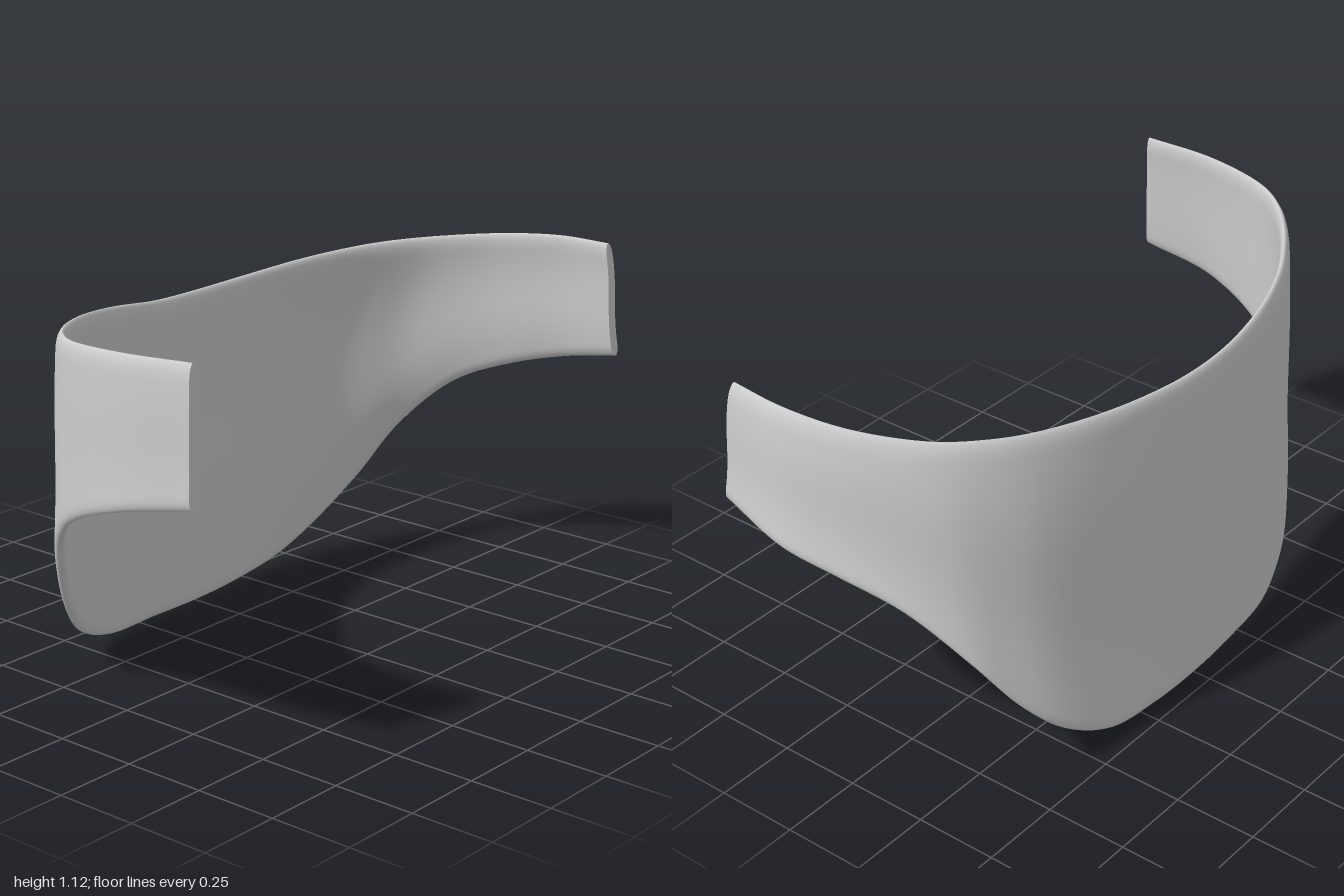
import * as THREE from 'three';

// Upper and lower rims, from the right tip round the back to the left tip
const RIMS = [
  // top x, y, z,        bottom x, y, z
  [-0.96, 1.12, 0.45, -0.98, 0.74, 0.46],
  [-0.978, 1.11, 0.22, -1.0, 0.69, 0.22],
  [-0.94, 1.095, 0.0, -0.955, 0.605, 0.0],
  [-0.87, 1.085, -0.11, -0.88, 0.5, -0.13],
  [-0.79, 1.075, -0.185, -0.8, 0.355, -0.215],
  [-0.69, 1.062, -0.255, -0.7, 0.2, -0.29],
  [-0.58, 1.048, -0.315, -0.59, 0.095, -0.355],
  [-0.4, 1.025, -0.375, -0.41, 0.02, -0.415],
  [-0.2, 1.0, -0.403, -0.2, 0.006, -0.442],
  [0, 0.997, -0.41, 0, 0.0, -0.453],
  [0.2, 1.007, -0.395, 0.2, 0.01, -0.458],
  [0.4, 1.023, -0.36, 0.41, 0.045, -0.457],
  [0.57, 1.037, -0.305, 0.59, 0.14, -0.425],
  [0.68, 1.047, -0.245, 0.7, 0.25, -0.37],
  [0.78, 1.056, -0.16, 0.805, 0.41, -0.285],
  [0.86, 1.068, -0.045, 0.9, 0.57, -0.125],
  [0.915, 1.08, 0.08, 0.965, 0.645, 0.05],
  [0.945, 1.092, 0.25, 1.0, 0.69, 0.22],
  [0.935, 1.095, 0.43, 0.97, 0.74, 0.45],
];
const THICK = 0.03, NU = 120, NV = 32;

// Closed, tapered shell swept between the two rims
function bandGeometry() {
  const curve = (k) => new THREE.CatmullRomCurve3(
    RIMS.map((r) => new THREE.Vector3(r[k], r[k + 1], r[k + 2])));
  const top = curve(0), bottom = curve(3);

  // Middle surface: gently S-shaped in height
  const surface = (u, v) => {
    const a = top.getPoint(u), b = bottom.getPoint(u);
    const g = v + 0.1 * Math.sin(2 * Math.PI * v);
    return new THREE.Vector3(
      THREE.MathUtils.lerp(a.x, b.x, g),
      THREE.MathUtils.lerp(a.y, b.y, v),
      THREE.MathUtils.lerp(a.z, b.z, g));
  };
  // Inward normal, horizontal so that the rims keep their heights
  const inward = (u, v) => {
    const t = surface(Math.min(u + 0.004, 1), v).sub(surface(Math.max(u - 0.004, 0), v));
    return new THREE.Vector3(-t.z, 0, t.x).normalize();
  };
  // Rounded edge: thickness falls to nothing at both rims
  const round = (d) => Math.sqrt(1 - (1 - Math.min(d, 1)) ** 2);

  const pos = [], index = [], ring = 2 * NV;
  for (let i = 0; i <= NU; i++) {
    const u = i / NU;
    const height = top.getPoint(u).y - bottom.getPoint(u).y;
    for (let j = 0; j < ring; j++) {
      // Down the outside, then up the inside; rows crowd towards the rims
      const k = j <= NV ? j : ring - j;
      const v = (1 - Math.cos(Math.PI * k / NV)) / 2;
      const w = Math.min(round(v * height / 0.05), round((1 - v) * height / 0.035));
      const off = (1 + (j <= NV ? -w : w)) * THICK / 2;
      const p = surface(u, v).addScaledVector(inward(u, v), off);
      pos.push(p.x, p.y, p.z);
    }
  }
  for (let i = 0; i < NU; i++) {
    for (let j = 0; j < ring; j++) {
      const a = i * ring + j, b = i * ring + (j + 1) % ring;
      index.push(a, b, a + ring, b, b + ring, a + ring);
    }
  }
  // Flat tips, with their own corners to keep the edges crisp
  for (const i of [0, NU]) {
    const base = pos.length / 3;
    pos.push(...pos.slice(i * ring * 3, (i + 1) * ring * 3));
    for (let k = 0; k < NV; k++) {
      const o0 = base + k, o1 = base + k + 1;
      const n0 = base + (ring - k) % ring, n1 = base + ring - k - 1;
      if (i === 0) index.push(o0, n0, o1, o1, n0, n1);
      else index.push(o0, o1, n0, o1, n1, n0);
    }
  }
  const geo = new THREE.BufferGeometry();
  geo.setAttribute('position', new THREE.Float32BufferAttribute(pos, 3));
  geo.setIndex(index);
  geo.computeVertexNormals();
  return geo;
}

export function createModel() {
  const group = new THREE.Group();
  group.name = 'curvedBand';
  const material = new THREE.MeshStandardMaterial({ color: 0xcccccc, side: THREE.DoubleSide });
  const shell = new THREE.Mesh(bandGeometry(), material);
  shell.name = 'wrapAroundShell';
  group.add(shell);
  return group;
}
